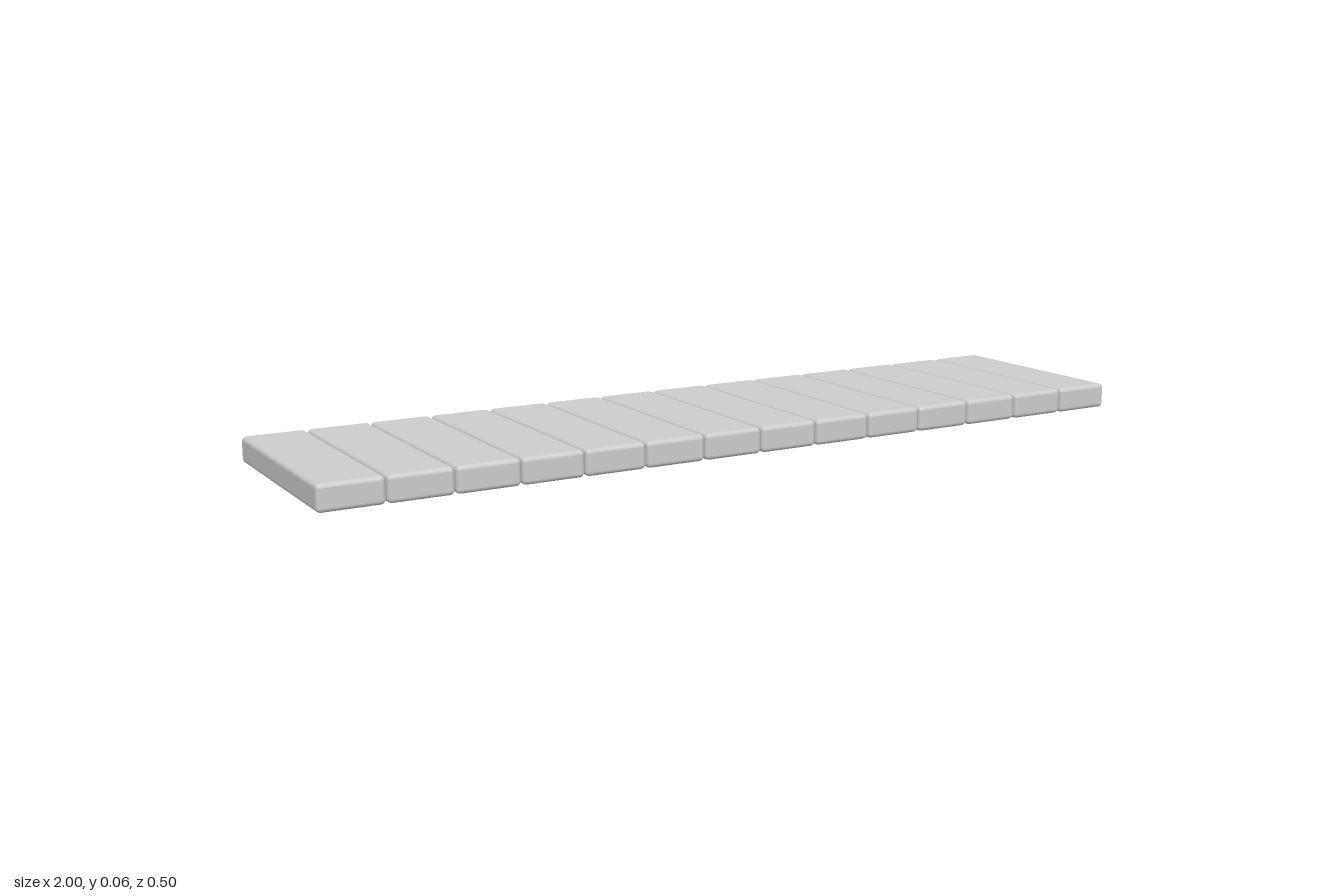
import * as THREE from 'three';
import { RoundedBoxGeometry } from 'three/addons/geometries/RoundedBoxGeometry.js';

const COUNT = 14, LENGTH = 2, GAP = 0.003;
const HEIGHT = 0.058, DEPTH = 0.495, EDGE = 0.01;

export function createModel() {
  const group = new THREE.Group();
  group.name = 'plankRow';
  const material = new THREE.MeshStandardMaterial({ color: 0xcccccc });

  // One soft-edged plank, repeated side by side along x
  const pitch = (LENGTH + GAP) / COUNT;
  const geometry = new RoundedBoxGeometry(pitch - GAP, HEIGHT, DEPTH, 3, EDGE);
  for (let i = 0; i < COUNT; i++) {
    const plank = new THREE.Mesh(geometry, material);
    plank.name = `plank${i + 1}`;
    plank.position.set((i - (COUNT - 1) / 2) * pitch, HEIGHT / 2, 0);
    group.add(plank);
  }
  return group;
}
